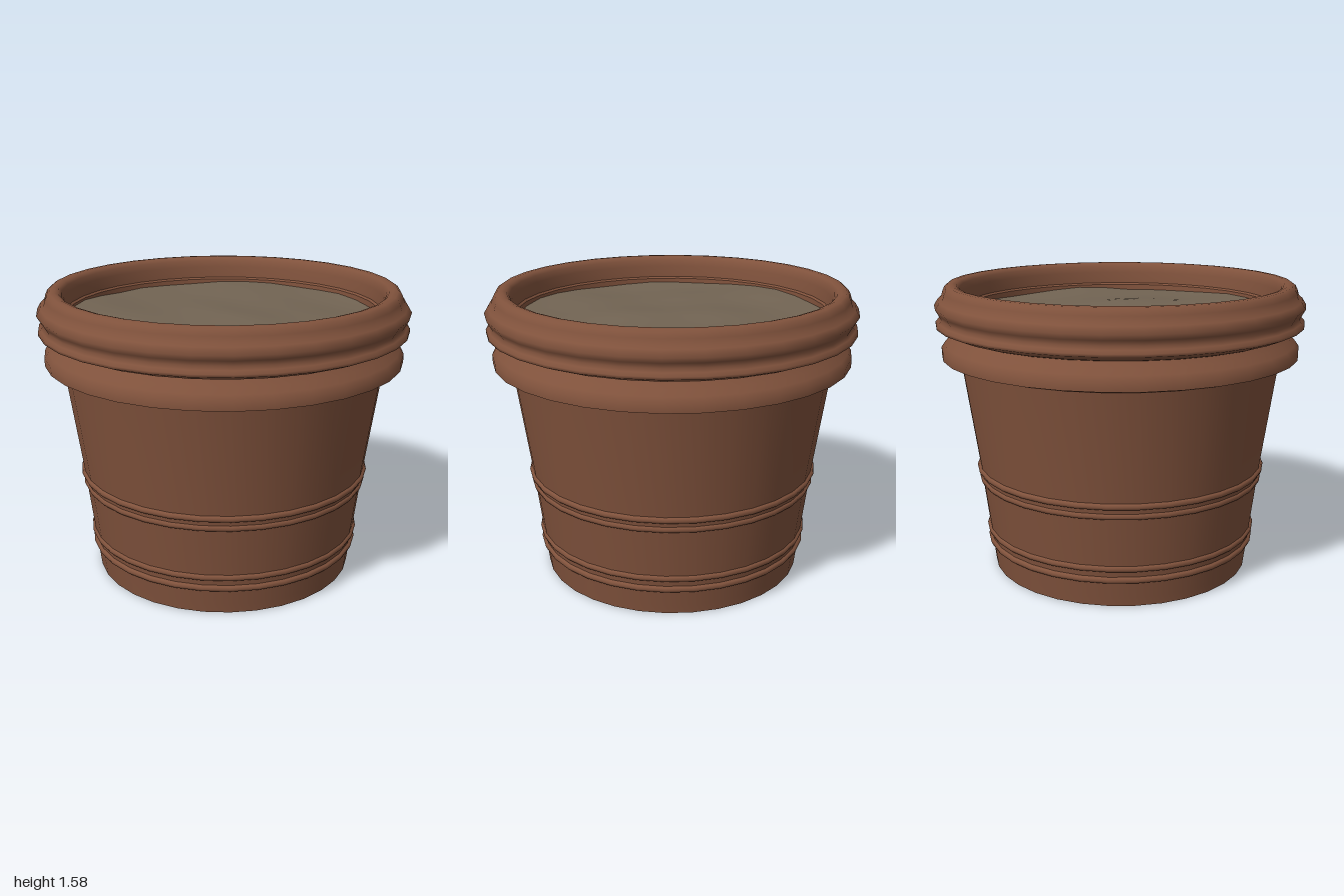
import * as THREE from 'three';
import { toCreasedNormals, mergeVertices } from 'three/addons/utils/BufferGeometryUtils.js';

const SEGMENTS = 32;

export function createModel() {
  const pot = new THREE.Group();
  pot.name = 'flowerPot';
  const clay = new THREE.MeshStandardMaterial({ color: 0x80523c });
  clay.name = 'terracotta';
  const earth = new THREE.MeshStandardMaterial({ color: 0x726453 });
  earth.name = 'soil';

  // Turned clay part from a profile of [radius, height]
  function turn(name, profile, crease) {
    const points = profile.map(([r, y]) => new THREE.Vector2(r, y));
    const geometry = toCreasedNormals(new THREE.LatheGeometry(points, SEGMENTS), crease);
    const mesh = new THREE.Mesh(geometry, clay);
    mesh.name = name;
    pot.add(mesh);
  }

  // Tapered wall with its closed underside
  turn('body', [[0, 0], [0.716, 0], [0.722, 0.05], [0.79, 0.6], [0.873, 1.18]], 0.75);

  // Pairs of thin raised bands
  const bands = [[0.153, 0.753], [0.217, 0.758], [0.512, 0.792], [0.567, 0.803]];
  for (const [y, r] of bands) {
    turn('raisedBand', [
      [r - 0.03, y - 0.021], [r - 0.006, y - 0.014], [r, y],
      [r - 0.006, y + 0.012], [r - 0.03, y + 0.022],
    ], 1.4);
  }

  // Flared collar under the rim
  turn('collar', [
    [0.867, 1.168], [0.9, 1.171], [0.97, 1.192], [0.971, 1.236],
    [0.95, 1.265], [0.925, 1.293], [0.9, 1.325],
  ], 1);

  // Moulded rim, rolling softly over the lip
  turn('rim', [
    [0.895, 1.322], [0.925, 1.331], [0.996, 1.36], [0.996, 1.374],
    [0.982, 1.39], [0.969, 1.408], [0.984, 1.435], [1.0, 1.463],
    [0.979, 1.497], [0.96, 1.512], [0.952, 1.54], [0.94, 1.565],
    [0.925, 1.576], [0.9, 1.578], [0.879, 1.572], [0.865, 1.556],
    [0.857, 1.52], [0.849, 1.455],
  ], 1.2);

  // Narrow inner ledge where the wall meets the soil
  turn('innerLedge', [[0.851, 1.458], [0.838, 1.447], [0.834, 1.39]], 0.6);

  // Uneven soil surface
  const disc = new THREE.RingGeometry(0, 0.838, SEGMENTS, 12).rotateX(-Math.PI / 2);
  const p = disc.attributes.position;
  for (let i = 0; i < p.count; i++) {
    const x = p.getX(i), z = p.getZ(i);
    const bump = Math.sin(4 * x + 2 * z + 1) * Math.cos(5 * z - 2 * x)
      + 0.6 * Math.sin(9 * x - 6 * z) * Math.sin(7 * z + 3 * x);
    p.setY(i, 1.422 + 0.011 * bump);
  }
  disc.deleteAttribute('uv');
  disc.deleteAttribute('normal');
  const soilGeometry = mergeVertices(disc);
  soilGeometry.computeVertexNormals();
  const soil = new THREE.Mesh(soilGeometry, earth);
  soil.name = 'soilSurface';
  pot.add(soil);

  return pot;
}
